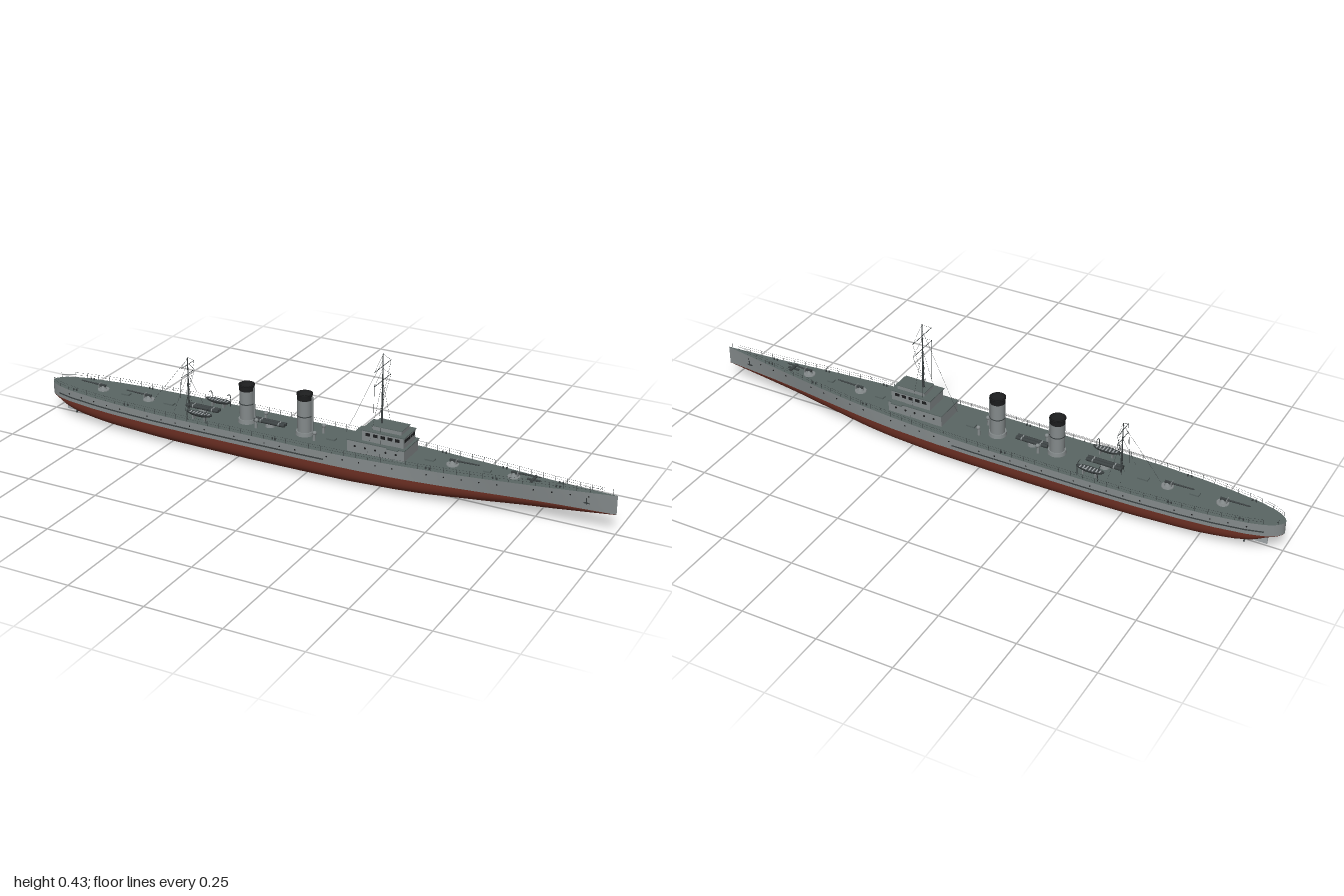
import * as THREE from 'three';
import { mergeGeometries } from 'three/addons/utils/BufferGeometryUtils.js';

const mat = (name, color, side = THREE.FrontSide) => {
  const m = new THREE.MeshStandardMaterial({ color, side });
  m.name = name;
  return m;
};
const V = (x, y, z) => new THREE.Vector3(x, y, z);

// linear lookup in a short table of [x, value] pairs
const lookup = (t, x) => {
  for (let i = 1; i < t.length; i++) if (x <= t[i][0]) {
    const [x0, v0] = t[i - 1], [x1, v1] = t[i];
    return v0 + (v1 - v0) * (x - x0) / (x1 - x0);
  }
  return t[t.length - 1][1];
};
const BEAM = [[-1, 0.006], [-0.99, 0.02], [-0.975, 0.032], [-0.95, 0.044], [-0.9, 0.058], [-0.8, 0.074], [-0.7, 0.084],
  [-0.55, 0.092], [-0.4, 0.095], [0, 0.095], [0.15, 0.092], [0.3, 0.084], [0.45, 0.071], [0.6, 0.054], [0.8, 0.026], [1, 0.001]];
const SHEER = [[-1, 0.106], [-0.5, 0.105], [0.1, 0.106], [0.5, 0.111], [0.8, 0.118], [1, 0.126]];
const KEEL = [[-1, 0.064], [-0.96, 0.056], [-0.92, 0.034], [-0.86, 0.02], [-0.75, 0.01], [-0.5, 0.003], [-0.2, 0], [0.15, 0.002],
  [0.4, 0.01], [0.6, 0.022], [0.8, 0.04], [0.92, 0.054], [1, 0.064]];
const WATER = 0.065;
const beam = x => lookup(BEAM, x), deckY = x => lookup(SHEER, x);
const bow = x => THREE.MathUtils.smoothstep(x, 0.3, 1);
// half-breadth of the topsides, flared towards the bow
const sideZ = (x, y) => beam(x) * (1 - 0.3 * bow(x) * (deckY(x) - y) / (deckY(x) - WATER));

// surface from cross-sections
function grid(nu, nv, fn) {
  const pos = [], idx = [];
  for (let i = 0; i <= nu; i++) for (let j = 0; j <= nv; j++) pos.push(...fn(i / nu, j / nv));
  for (let i = 0; i < nu; i++) for (let j = 0; j < nv; j++) {
    const a = i * (nv + 1) + j, c = a + nv + 1;
    idx.push(a, c, a + 1, c, c + 1, a + 1);
  }
  const g = new THREE.BufferGeometry();
  g.setAttribute('position', new THREE.Float32BufferAttribute(pos, 3));
  g.setIndex(idx);
  g.computeVertexNormals();
  return g;
}
function rodGeo(a, b, r, n = 5, r2 = r) {
  const g = new THREE.CylinderGeometry(r2, r, a.distanceTo(b), n);
  const q = new THREE.Quaternion().setFromUnitVectors(V(0, 1, 0), b.clone().sub(a).normalize());
  return g.applyQuaternion(q).translate((a.x + b.x) / 2, (a.y + b.y) / 2, (a.z + b.z) / 2);
}

export function createModel() {
  const ship = new THREE.Group();
  const grey = mat('hull grey', 0x848a8b), deckM = mat('deck grey', 0x5a6664), red = mat('bottom red', 0x6e3024);
  const black = mat('funnel black', 0x1c1d1e), dark = mat('fitting dark grey', 0x3c4243, THREE.DoubleSide);
  const pale = mat('pale grey', 0xa0a5a8, THREE.DoubleSide);
  const add = (name, geo, m, p = ship) => {
    const mesh = new THREE.Mesh(geo, m);
    mesh.name = name;
    p.add(mesh);
    return mesh;
  };
  const group = (name, x = 0, y = 0, z = 0) => {
    const g = new THREE.Group();
    g.name = name;
    g.position.set(x, y, z);
    ship.add(g);
    return g;
  };
  const box = (name, w, h, d, x, y, z, m, p) => add(name, new THREE.BoxGeometry(w, h, d).translate(x, y + h / 2, z), m, p);
  const cyl = (name, r1, r2, h, x, y, z, m, p, n = 20) => add(name, new THREE.CylinderGeometry(r1, r2, h, n).translate(x, y + h / 2, z), m, p);

  // hull: bottom, topsides wrapped round the stern, deck
  const station = s => -1 + 2 * s ** 1.6;
  add('hullBottom', grid(64, 28, (u, v) => {
    const x = station(u), a = (v - 0.5) * Math.PI, k = lookup(KEEL, x);
    const p = 0.6 + 0.8 * bow(x), q = 0.75 + 0.6 * bow(x);
    const c = Math.max(Math.cos(a), 0);
    return [x, WATER - (WATER - k) * c ** q, Math.sign(a) * Math.abs(Math.sin(a)) ** p * sideZ(x, WATER)];
  }), red);
  add('topsides', grid(128, 3, (u, v) => {
    const x = station(Math.abs(2 * u - 1)), y = WATER + (deckY(x) - WATER) * v;
    return [x, y, Math.sign(2 * u - 1) * sideZ(x, y)];
  }), grey);
  add('deck', grid(64, 2, (u, v) => {
    const x = station(u);
    return [x, deckY(x), beam(x) * (1 - 2 * v)];
  }), deckM);

  // rudder, shafts and propellers
  box('rudder', 0.07, 0.052, 0.005, -0.915, 0.008, 0, pale);
  for (const s of [-1, 1]) {
    add('propellerShaft', rodGeo(V(-0.89, 0.028, s * 0.025), V(-0.76, 0.022, s * 0.022), 0.003, 8), dark);
    for (let k = 0; k < 3; k++) {
      const blade = add('propellerBlade', new THREE.BoxGeometry(0.003, 0.015, 0.007).translate(0, 0.008, 0), dark);
      blade.position.set(-0.889, 0.028, s * 0.025);
      blade.rotation.x = k * Math.PI * 2 / 3;
    }
  }

  // side details: strake, portholes, anchors, rails
  const rails = [], ports = [];
  for (const s of [-1, 1]) {
    add('rubbingStrake', grid(40, 1, (u, v) => {
      const x = -0.95 + 1.03 * u, y = 0.078 + 0.005 * v;
      return [x, y, s * (sideZ(x, y) + 0.0012)];
    }), dark);
    for (let i = 0; i < 34; i++) {
      const x = -0.9 + i * 0.055;
      if (i % 6 === 5) continue;
      const y = deckY(x) - 0.014;
      const slope = Math.atan2(sideZ(x + 0.01, y) - sideZ(x - 0.01, y), 0.02);
      ports.push(new THREE.CylinderGeometry(0.0024, 0.0024, 0.002, 8).rotateX(Math.PI / 2)
        .rotateY(-s * slope).translate(x, y, s * sideZ(x, y)));
    }
    for (let i = 0; i < 48; i++) {
      const at = (k, h) => {
        const x = -0.985 + k * 0.0405;
        return V(x, deckY(x) + h, s * Math.max(beam(x) - 0.002, 0));
      };
      rails.push(rodGeo(at(i, 0), at(i, 0.017), 0.0007, 4));
      for (const h of [0.009, 0.017]) rails.push(rodGeo(at(i, h), at(i + 1, h), 0.0003, 3));
    }
    const ax = 0.91, az = s * (sideZ(ax, 0.092) + 0.002);
    add('anchorShank', rodGeo(V(ax, 0.084, az), V(ax, 0.104, az + s * 0.002), 0.002), dark);
    add('anchorFlukes', rodGeo(V(ax - 0.009, 0.088, az), V(ax + 0.009, 0.088, az), 0.002), dark);
  }
  add('railings', mergeGeometries(rails), dark);
  add('portholes', mergeGeometries(ports), black);

  // bridge: three tiers, wings and windows
  const bridge = group('bridge');
  box('deckhouse', 0.195, 0.042, 0.104, 0.238, 0.104, 0, grey, bridge);
  box('deckhouseRoof', 0.2, 0.003, 0.11, 0.238, 0.145, 0, deckM, bridge);
  box('bridgeWing', 0.04, 0.003, 0.13, 0.3, 0.146, 0, deckM, bridge);
  box('wheelhouse', 0.142, 0.035, 0.084, 0.258, 0.148, 0, grey, bridge);
  box('wheelhouseRoof', 0.148, 0.003, 0.09, 0.258, 0.182, 0, deckM, bridge);
  box('chartHouse', 0.1, 0.014, 0.058, 0.265, 0.185, 0, grey, bridge);
  box('chartHouseTop', 0.104, 0.002, 0.062, 0.265, 0.198, 0, deckM, bridge);
  for (let i = -2; i <= 2; i++) {
    box('frontWindow', 0.002, 0.01, 0.011, 0.3293, 0.166, i * 0.0155, black, bridge);
    for (const s of [-1, 1]) {
      box('sideWindow', 0.015, 0.01, 0.002, 0.258 + i * 0.025, 0.166, s * 0.0423, black, bridge);
      add('deckhousePort', new THREE.CylinderGeometry(0.0035, 0.0035, 0.002, 10).rotateX(Math.PI / 2)
        .translate(0.238 + i * 0.035, 0.128, s * 0.0523), black, bridge);
    }
  }

  // funnels with black caps and steam pipes
  for (const [x, top] of [[-0.245, 0.236], [-0.035, 0.246]]) {
    const f = group('funnel', x);
    cyl('funnelSkirt', 0.028, 0.03, 0.014, 0, 0.104, 0, grey, f, 28);
    cyl('funnelBody', 0.024, 0.024, top - 0.134, 0, 0.116, 0, grey, f, 28);
    cyl('funnelBand', 0.0252, 0.0252, 0.003, 0, 0.17, 0, dark, f, 28);
    add('funnelCap', new THREE.LatheGeometry([[0.0245, top - 0.02], [0.0245, top - 0.003], [0.0265, top - 0.003], [0.0265, top],
      [0.022, top], [0.022, top - 0.012], [0, top - 0.012]].map(p => new THREE.Vector2(...p)), 28), black, f);
    cyl('steamPipe', 0.003, 0.003, top - 0.114, 0.027, 0.105, 0, grey, f, 8);
    for (const s of [-1, 1]) {
      cyl('ventilator', 0.004, 0.005, 0.026, 0.05, 0.104, s * 0.032, grey, f, 10);
      add('ventilatorCowl', new THREE.SphereGeometry(0.007, 10, 8).translate(0.052, 0.132, s * 0.032), grey, f);
    }
  }

  // masts with yards, stays and shrouds
  function mast(name, x, y0, y1, yards, half, stays) {
    const g = group(name);
    add('pole', rodGeo(V(x, y0, 0), V(x, y1, 0), 0.0038, 8, 0.0012), dark, g);
    const wires = [];
    for (const y of yards) {
      add('yard', rodGeo(V(x, y, -half), V(x, y, half), 0.001, 5), dark, g);
      for (const s of [-1, 1]) wires.push([V(x, y, s * half), V(x - 0.02, y0 + 0.02, s * 0.02)], [V(x, y, s * half), V(x, Math.min(y + 0.04, y1), 0)]);
    }
    for (const s of [-1, 1]) wires.push([V(x, yards[0], 0), V(x - 0.025, 0.106, s * 0.055)], [V(x, yards[0], 0), V(x + 0.02, 0.106, s * 0.055)]);
    wires.push(...stays);
    add('rigging', mergeGeometries(wires.map(([a, b]) => rodGeo(a, b, 0.0004, 3))), dark, g);
  }
  mast('foremast', 0.235, 0.19, 0.432, [0.342, 0.389], 0.058, [[V(0.235, 0.41, 0), V(0.11, 0.14, 0)]]);
  mast('mainmast', -0.465, 0.104, 0.285, [0.228, 0.26], 0.04, [[V(-0.465, 0.28, 0), V(-0.6, 0.11, 0)]]);

  // deck guns, two facing forward and two facing aft
  for (const [x, yaw] of [[-0.8, Math.PI], [-0.62, Math.PI], [0.475, 0], [0.675, 0]]) {
    const g = group('deckGun', x, deckY(x), 0);
    g.rotation.y = yaw;
    cyl('gunPlatform', 0.019, 0.02, 0.003, 0, 0, 0, grey, g);
    cyl('gunPedestal', 0.005, 0.011, 0.011, 0, 0.003, 0, grey, g, 12);
    box('gunBreech', 0.022, 0.007, 0.008, 0.002, 0.011, 0, dark, g);
    box('gunShield', 0.002, 0.014, 0.018, 0.014, 0.006, 0, grey, g);
    add('gunBarrel', rodGeo(V(0, 0.015, 0), V(0.087, 0.017, 0), 0.0032, 8, 0.002), dark, g);
  }

  // twin torpedo tubes on turntables
  for (const [x, len] of [[-0.41, 0.12], [-0.16, 0.11]]) {
    const g = group('torpedoTubes', x, 0.105, 0);
    cyl('turntable', 0.015, 0.017, 0.01, 0, 0, 0, grey, g);
    for (const s of [-1, 1]) {
      add('tube', rodGeo(V(-len / 2, 0.015, s * 0.0065), V(len / 2, 0.015, s * 0.0065), 0.0058, 12), dark, g);
      for (const k of [-0.3, 0.3]) add('tubeBand', rodGeo(V(k * len, 0.015, s * 0.0065), V(k * len + 0.004, 0.015, s * 0.0065), 0.0066, 12), grey, g);
    }
  }

  // ship's boats on davits
  for (const s of [-1, 1]) {
    const b = group('lifeboat', -0.388, 0.129, s * 0.06);
    add('boatShell', new THREE.SphereGeometry(1, 20, 8, 0, Math.PI * 2, Math.PI / 2, Math.PI / 2).scale(0.048, 0.014, 0.012), dark, b);
    for (let i = -3; i <= 3; i++) box('thwart', 0.004, 0.002, 0.021 * Math.sqrt(1 - (i / 4) ** 2), i * 0.011, -0.003, 0, pale, b);
    for (const x of [-0.035, 0.035]) {
      const curve = new THREE.CatmullRomCurve3([V(x, -0.024, s * 0.018), V(x, 0.008, s * 0.019), V(x, 0.02, s * 0.012), V(x, 0.021, 0)]);
      add('davit', new THREE.TubeGeometry(curve, 10, 0.0013, 5), dark, b);
      box('chock', 0.004, 0.014, 0.016, x * 0.6, -0.024, 0, grey, b);
    }
  }

  // small deck fittings: hatches, windlass, bollards
  for (const [x, w] of [[-0.71, 0.03], [-0.54, 0.035], [0.06, 0.03], [0.4, 0.03], [0.59, 0.022]]) {
    box('hatch', w, 0.006, 0.018, x, deckY(x) - 0.001, 0, deckM);
  }
  const w = group('windlass', 0.738, deckY(0.738), 0);
  add('windlassDrum', rodGeo(V(0, 0.006, -0.02), V(0, 0.006, 0.02), 0.005, 10), dark, w);
  box('windlassBed', 0.04, 0.004, 0.008, 0, 0, 0, dark, w);
  for (const x of [-0.88, -0.66, -0.1, 0.42, 0.63, 0.82]) for (const s of [-1, 1]) for (const d of [-0.006, 0.006]) {
    cyl('bollard', 0.0025, 0.0025, 0.007, x + d, deckY(x), s * (beam(x) - 0.009), dark, ship, 8);
  }
  add('jackstaff', rodGeo(V(0.985, deckY(0.985), 0), V(0.985, 0.145, 0), 0.0007, 4), dark);
  return ship;
}
